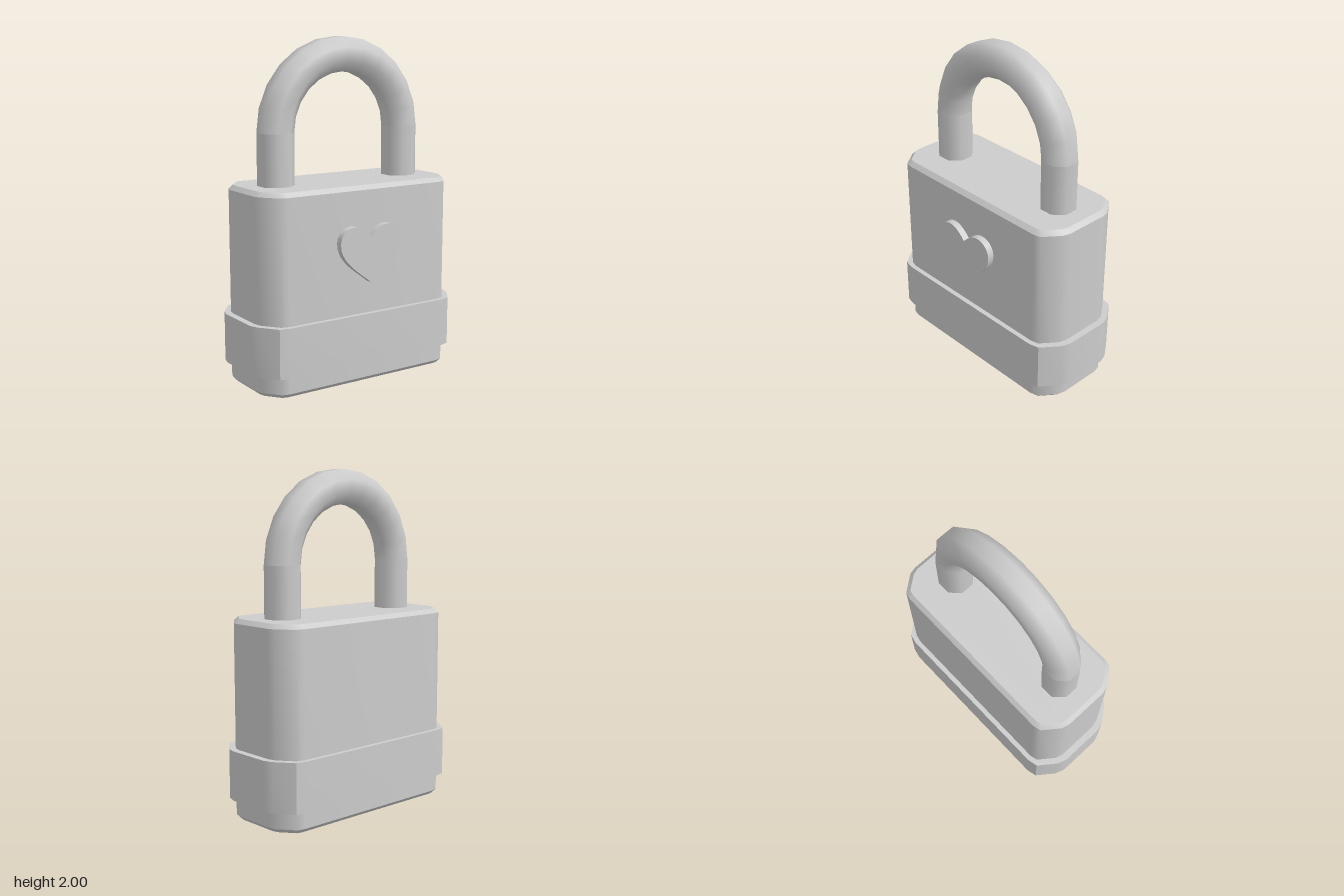
import * as THREE from 'three';
import { toCreasedNormals } from 'three/addons/utils/BufferGeometryUtils.js';

const grey = new THREE.MeshStandardMaterial({ color: 0xcccccc });

function add(parent, name, geometry, x = 0, y = 0, z = 0) {
  const mesh = new THREE.Mesh(geometry, grey);
  mesh.name = name;
  mesh.position.set(x, y, z);
  parent.add(mesh);
  return mesh;
}

// Upright block from one corner outline mirrored into all four quadrants
function block(corner, height, bevel) {
  const back = [...corner].reverse();
  const outline = [
    ...corner,
    ...back.map(([x, z]) => [-x, z]),
    ...corner.map(([x, z]) => [-x, -z]),
    ...back.map(([x, z]) => [x, -z]),
  ].map(([x, z]) => new THREE.Vector2(x, z));
  const geometry = new THREE.ExtrudeGeometry(new THREE.Shape(outline), {
    depth: height - 2 * bevel,
    bevelEnabled: bevel > 0,
    bevelThickness: bevel,
    bevelSize: bevel,
    bevelOffset: -bevel,
    bevelSegments: 1,
  });
  geometry.translate(0, 0, bevel).rotateX(-Math.PI / 2);
  return toCreasedNormals(geometry, 0.7);
}

function heartShape() {
  const s = new THREE.Shape();
  s.moveTo(0, 0.63);
  s.bezierCurveTo(0.07, 0.69, 0.205, 0.76, 0.205, 0.865);
  s.bezierCurveTo(0.205, 0.92, 0.165, 0.957, 0.115, 0.957);
  s.bezierCurveTo(0.065, 0.957, 0.03, 0.92, 0, 0.89);
  s.bezierCurveTo(-0.03, 0.92, -0.065, 0.957, -0.115, 0.957);
  s.bezierCurveTo(-0.165, 0.957, -0.205, 0.92, -0.205, 0.865);
  s.bezierCurveTo(-0.205, 0.76, -0.07, 0.69, 0, 0.63);
  return s;
}

export function createModel() {
  const lock = new THREE.Group();
  lock.name = 'padlock';
  const zMid = -0.006;

  // Body and the band around its lower part
  const bodyCorner = [[0.645, 0.13], [0.633, 0.175], [0.56, 0.27], [0.515, 0.281]];
  const bandCorner = [[0.685, 0.135], [0.667, 0.19], [0.587, 0.296], [0.525, 0.31]];
  add(lock, 'body', block(bodyCorner, 1.145, 0.025), 0, 0.035, zMid);
  add(lock, 'band', block(bandCorner, 0.285, 0), 0, 0.16, zMid);

  // Shackle: eight-sided bar, half-round bow on two straight legs
  const shackle = new THREE.Group();
  shackle.name = 'shackle';
  shackle.position.z = zMid;
  lock.add(shackle);
  const bowRadius = 0.427, barRadius = 0.106, bowY = 1.475, legFoot = 1.1;
  const section = [];
  for (let i = 0; i <= 8; i++) {
    const a = Math.PI / 8 + (i * Math.PI) / 4;
    section.push(new THREE.Vector2(bowRadius + barRadius * Math.cos(a), barRadius * Math.sin(a)));
  }
  const bow = new THREE.LatheGeometry(section, 12, -Math.PI / 2, Math.PI).rotateX(-Math.PI / 2);
  add(shackle, 'bow', toCreasedNormals(bow, 1.0), 0, bowY, 0);
  for (const side of [-1, 1]) {
    const leg = new THREE.CylinderGeometry(barRadius, barRadius, bowY - legFoot, 8, 1, true, Math.PI / 8);
    add(shackle, side > 0 ? 'leftLeg' : 'rightLeg', leg, side * bowRadius, (bowY + legFoot) / 2, 0);
  }

  // Raised heart on the front
  const heart = new THREE.ExtrudeGeometry(heartShape(), { depth: 0.065, bevelEnabled: false, curveSegments: 10 });
  add(lock, 'heart', toCreasedNormals(heart, 0.7), 0, 0, 0.25);

  // Round key plug under the body
  const plug = [[0, 0], [0.18, 0], [0.19, 0.01], [0.19, 0.05]].map(([r, y]) => new THREE.Vector2(r, y));
  add(lock, 'keyPlug', toCreasedNormals(new THREE.LatheGeometry(plug, 32), 0.6), 0, 0, zMid);

  return lock;
}
